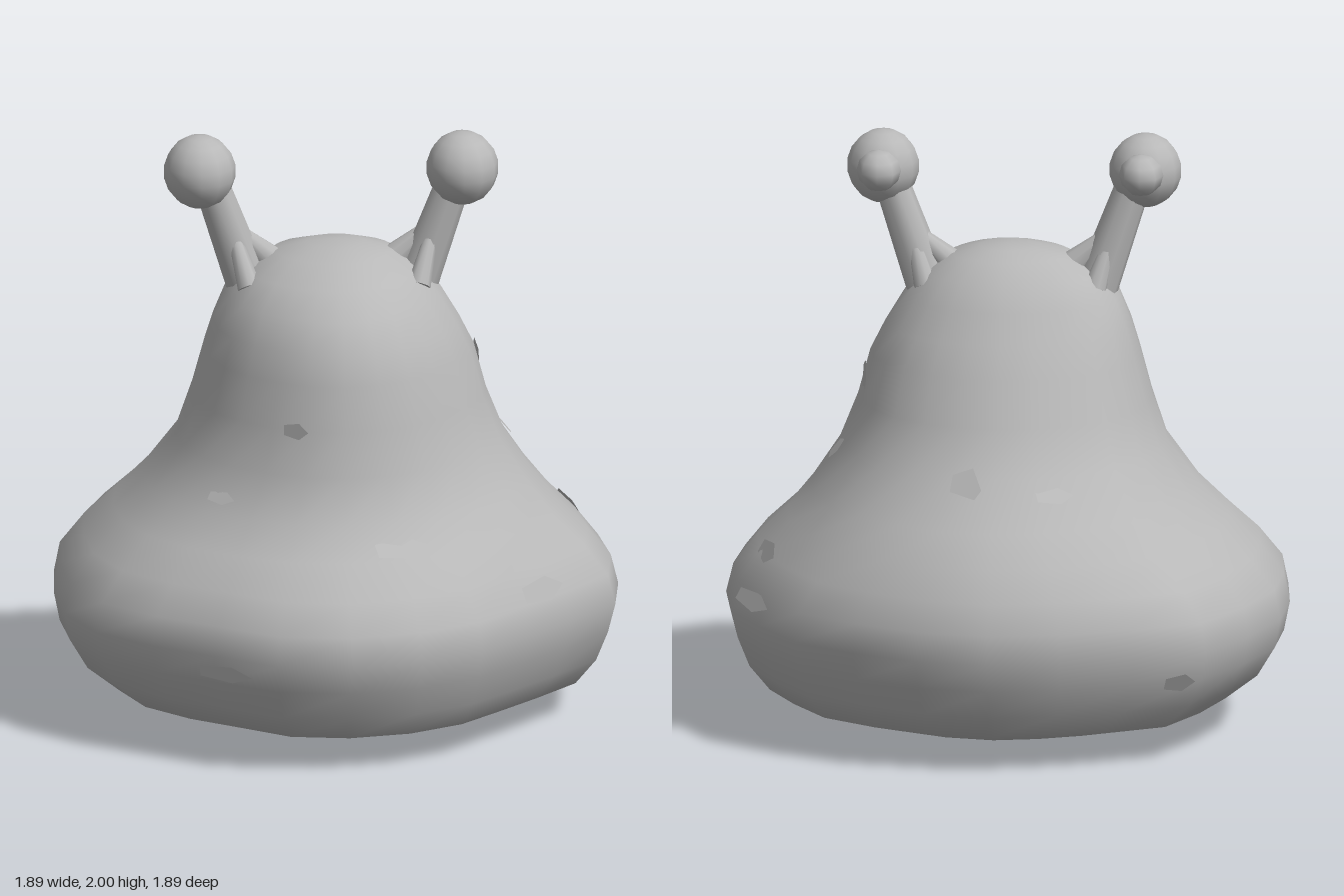
import * as THREE from 'three';

const skin = new THREE.MeshStandardMaterial({ color: 0xb8b8b8, side: THREE.DoubleSide });
skin.name = 'grey skin';

// Body cross-sections: height, reach to -x, +x, +z, -z
const rings = [
  [0.00, 0.02, 0.22, 0.2, 0.02], [0.03, 0.36, 0.46, 0.42, 0.4], [0.065, 0.57, 0.63, 0.62, 0.64],
  [0.115, 0.76, 0.81, 0.81, 0.81], [0.2, 0.87, 0.88, 0.87, 0.87], [0.3, 0.93, 0.92, 0.91, 0.91],
  [0.4, 0.95, 0.945, 0.95, 0.945], [0.5, 0.93, 0.92, 0.93, 0.94], [0.6, 0.85, 0.84, 0.86, 0.9],
  [0.7, 0.75, 0.74, 0.73, 0.83], [0.8, 0.65, 0.66, 0.62, 0.74], [0.95, 0.54, 0.56, 0.57, 0.58],
  [1.1, 0.49, 0.50, 0.54, 0.49], [1.25, 0.45, 0.46, 0.51, 0.42], [1.35, 0.42, 0.41, 0.48, 0.35],
  [1.45, 0.38, 0.35, 0.42, 0.29], [1.53, 0.31, 0.28, 0.32, 0.23], [1.59, 0.21, 0.19, 0.2, 0.15],
  [1.615, 0.1, 0.09, 0.1, 0.08],
];

// Uneven outline of the skirt, every 15 degrees from +x towards +z
const outline = [1, 1.01, 0.93, 0.91, 0.95, 0.98, 1, 1, 0.95, 0.97, 1.01, 1.01,
  1, 1.02, 1.03, 1.07, 1.01, 0.99, 1, 0.99, 0.98, 1, 0.98, 1];
const SEG = outline.length;

function ringPoint([y, left, right, front, back], angle) {
  const f = ((angle / (Math.PI * 2)) * SEG + SEG) % SEG;
  const i = Math.floor(f);
  const wobble = THREE.MathUtils.lerp(outline[i % SEG], outline[(i + 1) % SEG], f - i);
  const k = 1 + (wobble - 1) * (y < 0.65 ? 1 : 0.4);
  const c = Math.cos(angle), s = Math.sin(angle);
  return new THREE.Vector3(c * (c > 0 ? right : left) * k, y, s * (s > 0 ? front : back) * k);
}

function surfacePoint(angle, y) {
  const i = Math.max(1, rings.findIndex((r) => r[0] >= y));
  const a = rings[i - 1], b = rings[i];
  return ringPoint(a.map((v, n) => THREE.MathUtils.lerp(v, b[n], (y - a[0]) / (b[0] - a[0]))), angle);
}

function bodyGeometry() {
  const pos = [], index = [];
  for (const ring of rings) {
    for (let j = 0; j < SEG; j++) pos.push(...ringPoint(ring, (j / SEG) * Math.PI * 2).toArray());
  }
  for (let i = 0; i < rings.length - 1; i++) {
    for (let j = 0; j < SEG; j++) {
      const a = i * SEG + j, b = i * SEG + ((j + 1) % SEG);
      index.push(a, a + SEG, b, b, a + SEG, b + SEG);
    }
  }
  // Close the sole and the crown
  const sole = pos.length / 3, crown = sole + 1, top = (rings.length - 1) * SEG;
  pos.push(0.1, 0, 0.09, 0, 1.622, 0);
  for (let j = 0; j < SEG; j++) {
    const n = (j + 1) % SEG;
    index.push(sole, j, n, crown, top + n, top + j);
  }
  const g = new THREE.BufferGeometry();
  g.setAttribute('position', new THREE.Float32BufferAttribute(pos, 3));
  g.setIndex(index);
  g.computeVertexNormals();
  return g;
}

function add(parent, name, geometry) {
  const mesh = new THREE.Mesh(geometry, skin);
  mesh.name = name;
  parent.add(mesh);
  return mesh;
}

// Tapered rod between two points
function rod(parent, name, from, to, r0, r1) {
  const dir = to.clone().sub(from);
  const mesh = add(parent, name, new THREE.CylinderGeometry(r1, r0, dir.length(), 9));
  mesh.position.copy(from).addScaledVector(dir, 0.5);
  mesh.quaternion.setFromUnitVectors(new THREE.Vector3(0, 1, 0), dir.normalize());
  return mesh;
}

function eyeStalk(side, name) {
  const g = new THREE.Group();
  g.name = name;
  const x = side > 0 ? 0.42 : -0.462;
  const shift = side > 0 ? 0 : -0.03;
  const v = (px, py, pz) => new THREE.Vector3(px * side + shift, py, pz);
  rod(g, 'stalk', v(0.27, 1.48, 0), v(0.39, 1.82, 0.015), 0.075, 0.06);
  // Webs that flare from the stalk into the head
  rod(g, 'innerWeb', v(0.19, 1.55, 0), v(0.32, 1.67, 0), 0.05, 0.02);
  rod(g, 'frontWeb', v(0.27, 1.49, 0.12), v(0.32, 1.66, 0.03), 0.04, 0.02);
  rod(g, 'backWeb', v(0.27, 1.49, -0.07), v(0.32, 1.66, -0.02), 0.04, 0.02);
  const ball = add(g, 'eyeball', new THREE.SphereGeometry(1, 12, 9));
  ball.scale.set(0.122, 0.125, 0.133);
  ball.position.set(x, 1.875, 0.036);
  // Small knob behind the eyeball
  const knob = add(g, 'eyeKnob', new THREE.SphereGeometry(1, 8, 6));
  knob.scale.set(0.075, 0.07, 0.09);
  knob.position.set(x + 0.005, 1.89, -0.095);
  return g;
}

// Skin flakes: angle in degrees, height, width, depth
const flakes = [
  [75, 0.73, 0.22, 0.1], [37, 0.53, 0.22, 0.09], [118, 0.34, 0.22, 0.06], [110, 1.1, 0.1, 0.06],
  [133, 0.85, 0.12, 0.05], [348, 1.17, 0.1, 0.14], [350, 0.93, 0.1, 0.09], [342, 0.61, 0.2, 0.08],
  [335, 0.47, 0.28, 0.07], [280, 0.92, 0.12, 0.16], [250, 0.9, 0.14, 0.08], [230, 0.3, 0.12, 0.08],
];

export function createModel() {
  const model = new THREE.Group();
  model.name = 'blobCreature';
  add(model, 'body', bodyGeometry());
  model.add(eyeStalk(1, 'leftEyeStalk'), eyeStalk(-1, 'rightEyeStalk'));

  flakes.forEach(([deg, y, w, h], i) => {
    const a = THREE.MathUtils.degToRad(deg);
    const p = surfacePoint(a, y);
    const up = surfacePoint(a, y + 0.04).sub(p);
    const normal = up.cross(surfacePoint(a + 0.08, y).sub(p)).normalize();
    const flake = add(model, 'skinFlake' + (i + 1), new THREE.CircleGeometry(0.5, 5));
    flake.scale.set(w, h, 1);
    flake.position.copy(p).addScaledVector(normal, 0.003);
    flake.lookAt(p.clone().add(normal));
    flake.rotateX(i % 2 ? 0.2 : -0.2);
  });
  return model;
}
